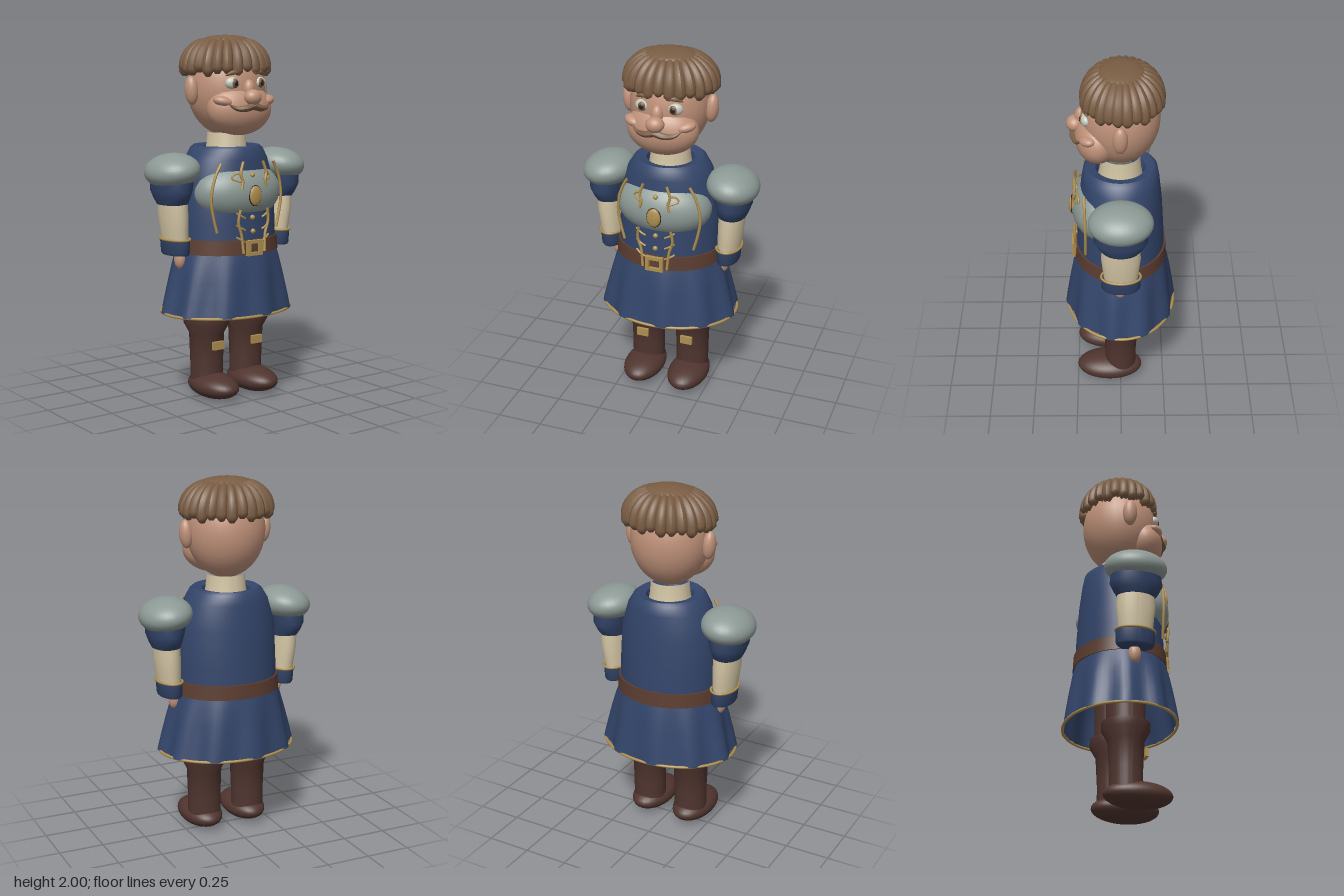
import * as THREE from 'three';
import { toCreasedNormals } from 'three/addons/utils/BufferGeometryUtils.js';

const mat = (name, color, side = THREE.FrontSide) => {
  const m = new THREE.MeshStandardMaterial({ color, side });
  m.name = name;
  return m;
};
const V = (p) => new THREE.Vector3(...p);

export function createModel() {
  const navy = mat('navy cloth', 0x33456a, THREE.DoubleSide);
  const steel = mat('grey steel', 0x8c9995);
  const skin = mat('skin', 0xc0927a);
  const hair = mat('brown hair', 0x7a5d44);
  const gold = mat('gold', 0xae8f50);
  const boot = mat('dark boot leather', 0x50352f);
  const leather = mat('belt leather', 0x5c3d30);
  const cream = mat('cream linen', 0xd3c5a4);
  const white = mat('eye white', 0xc4c8ba);
  const dark = mat('dark brown', 0x2c1c17);

  const root = new THREE.Group();
  root.name = 'bearer';
  const add = (name, geo, material, pos = [0, 0, 0], rot = [0, 0, 0]) => {
    const m = new THREE.Mesh(geo, material);
    m.name = name;
    m.position.set(...pos);
    m.rotation.set(...rot);
    root.add(m);
    return m;
  };
  const ball = (name, material, pos, r, rot) =>
    add(name, new THREE.SphereGeometry(1, 32, 22).scale(...r), material, pos, rot);

  // Elliptical cross-sections from top to bottom: [y, rx, rz, centre x, centre z]
  const loft = (name, material, rings, wave = () => 1) => {
    const seg = 80;
    const g = new THREE.CylinderGeometry(1, 1, 1, seg, rings.length - 1, true);
    const p = g.attributes.position;
    for (let i = 0; i < p.count; i++) {
      const row = Math.floor(i / (seg + 1));
      const [y, rx, rz, cx = 0, cz = 0] = rings[row];
      const x = p.getX(i), z = p.getZ(i);
      const k = wave(Math.atan2(z, x), row / (rings.length - 1));
      p.setXYZ(i, cx + x * rx * k, y, cz + z * rz * k);
    }
    return add(name, toCreasedNormals(g, 0.7), material);
  };

  // Tube through points, its radius following a rule along the length
  const cord = (name, material, pts, r, rule = () => 1, seg = 16, sides = 8) => {
    const curve = new THREE.CatmullRomCurve3(pts.map(V));
    const g = new THREE.TubeGeometry(curve, seg, r, sides);
    const p = g.attributes.position, v = new THREE.Vector3();
    for (let i = 0; i < p.count; i++) {
      const t = Math.floor(i / (sides + 1)) / seg;
      const c = curve.getPointAt(t);
      v.fromBufferAttribute(p, i).sub(c).multiplyScalar(rule(t)).add(c);
      p.setXYZ(i, v.x, v.y, v.z);
    }
    g.computeVertexNormals();
    return add(name, g, material);
  };
  const ellipseTrim = (name, y, rx, rz, cx, r) => {
    const pts = [];
    for (let i = 0; i < 24; i++) {
      const a = (i / 24) * Math.PI * 2;
      pts.push(new THREE.Vector3(cx + rx * Math.cos(a), y, rz * Math.sin(a)));
    }
    add(name, new THREE.TubeGeometry(new THREE.CatmullRomCurve3(pts, true), 72, r, 8, true), gold);
  };

  // Tunic, belt and pleated skirt
  loft('tunic', navy, [
    [1.35, 0.12, 0.12], [1.39, 0.13, 0.135], [1.4, 0.18, 0.185], [1.385, 0.2, 0.2],
    [1.33, 0.235, 0.21], [1.2, 0.275, 0.225], [1.0, 0.285, 0.238], [0.82, 0.29, 0.245],
  ]);
  loft('belt', leather, [
    [0.9, 0.28, 0.235], [0.9, 0.297, 0.252], [0.82, 0.303, 0.256], [0.82, 0.28, 0.24],
  ]);
  loft('skirt', navy, [
    [0.85, 0.288, 0.242], [0.77, 0.315, 0.262], [0.68, 0.338, 0.276], [0.58, 0.362, 0.29], [0.487, 0.385, 0.303],
  ], (a, t) => 1 + 0.04 * Math.min(1, t * 1.5) * Math.cos(10 * (a - 1.442)));
  ellipseTrim('skirtTrim', 0.487, 0.388, 0.304, 0, 0.008);

  // Breastplate with medallion and buttons
  ball('breastplate', steel, [0, 1.15, 0.1], [0.268, 0.17, 0.17]);
  ball('medallionRim', dark, [0, 1.14, 0.266], [0.043, 0.057, 0.01]);
  ball('medallion', gold, [0, 1.14, 0.27], [0.039, 0.053, 0.014]);
  for (const [y, z] of [[1.25, 0.24], [1.02, 0.242], [0.945, 0.247]])
    ball('button', gold, [0, y, z], [0.014, 0.014, 0.012]);

  // Belt buckle
  const frame = new THREE.Shape();
  frame.moveTo(-0.05, -0.042).lineTo(0.05, -0.042).lineTo(0.05, 0.042).lineTo(-0.05, 0.042).closePath();
  const hole = new THREE.Path();
  hole.moveTo(-0.03, -0.024).lineTo(-0.03, 0.024).lineTo(0.03, 0.024).lineTo(0.03, -0.024).closePath();
  frame.holes.push(hole);
  add('buckle', new THREE.ExtrudeGeometry(frame, { depth: 0.025, bevelEnabled: false }), gold, [0, 0.857, 0.247]);

  // Neck and head
  loft('neck', cream, [[1.47, 0.105, 0.105], [1.4, 0.11, 0.11], [1.34, 0.12, 0.12]]);
  ball('head', skin, [0, 1.71, 0], [0.217, 0.26, 0.21]);
  ball('jaw', skin, [0, 1.6, 0.12], [0.198, 0.143, 0.125]);
  ball('noseBridge', skin, [0, 1.705, 0.205], [0.034, 0.055, 0.035]);
  ball('noseTip', skin, [0, 1.665, 0.24], [0.05, 0.043, 0.045]);

  // Hair: a cap under radiating locks
  add('hairCap', new THREE.SphereGeometry(1, 40, 20, 0, Math.PI * 2, 0, Math.PI / 2).scale(0.238, 0.19, 0.2),
    hair, [0, 1.805, -0.008]);
  ball('crown', hair, [0, 1.965, -0.005], [0.14, 0.032, 0.12]);
  const locks = 26;
  for (let i = 0; i < locks; i++) {
    const a = ((i + 0.5) / locks) * Math.PI * 2;
    const tip = 1.785 + 0.012 * Math.sin(i * 2.4);
    const pts = [[0.38, 1.972], [0.68, 1.945], [0.9, 1.895], [0.99, 1.84], [0.98, tip]]
      .map(([f, y]) => [f * 0.237 * Math.cos(a), y, -0.01 + f * 0.196 * Math.sin(a)]);
    cord('hairLock', hair, pts, 0.031, (t) => 0.2 + 0.8 * Math.sqrt(Math.sin(Math.min(1, t * 1.3) * Math.PI / 2)) - (t > 0.9 ? (t - 0.9) * 6 : 0), 20, 10);
  }

  for (const s of [1, -1]) {
    // Face
    ball('eye', white, [s * 0.092, 1.74, 0.182], [0.04, 0.032, 0.026], [0, s * 0.25, 0]);
    ball('iris', hair, [s * 0.086, 1.74, 0.199], [0.023, 0.025, 0.012]);
    ball('pupil', dark, [s * 0.086, 1.74, 0.208], [0.012, 0.014, 0.006]);
    cord('eyebrow', hair, [[s * 0.045, 1.79, 0.2], [s * 0.085, 1.797, 0.19], [s * 0.13, 1.78, 0.17]], 0.012,
      (t) => 0.2 + 0.8 * Math.sin(Math.PI * t));
    ball('cheek', skin, [s * 0.145, 1.645, 0.172], [0.055, 0.028, 0.04], [0, s * 0.5, s * 0.2]);
    cord('moustache', hair, [[0, 1.62, 0.248], [s * 0.05, 1.607, 0.246], [s * 0.1, 1.608, 0.226], [s * 0.138, 1.635, 0.21]],
      0.02, (t) => Math.max(0.05, 1 - 0.9 * t * t));
    ball('ear', skin, [s * 0.232, 1.7, 0.003], [0.036, 0.078, 0.04], [0, 0, s * -0.08]);

    // Shoulder, arm and cuff
    ball('shoulderPad', steel, [s * 0.358, 1.274, 0], [0.144, 0.094, 0.172], [0, 0, s * -0.15]);
    loft('sleeve', navy, [
      [1.27, 0.115, 0.13, s * 0.355], [1.17, 0.098, 0.145, s * 0.365], [1.125, 0.085, 0.122, s * 0.362],
      [1.095, 0.075, 0.1, s * 0.358], [1.1, 0.05, 0.08, s * 0.358],
    ]);
    loft('forearm', cream, [
      [1.14, 0.07, 0.1, s * 0.358], [1.04, 0.07, 0.106, s * 0.354], [0.96, 0.066, 0.098, s * 0.348], [0.88, 0.06, 0.09, s * 0.342],
    ]);
    loft('cuff', navy, [
      [0.9, 0.05, 0.08, s * 0.343], [0.908, 0.067, 0.107, s * 0.343], [0.83, 0.063, 0.105, s * 0.34],
      [0.82, 0.058, 0.098, s * 0.34], [0.82, 0, 0, s * 0.34],
    ]);
    ellipseTrim('cuffTrim', 0.905, 0.067, 0.107, s * 0.343, 0.007);
    ball('hand', skin, [s * 0.312, 0.79, 0.003], [0.032, 0.055, 0.034]);

    // Gold cords on the chest
    cord('sideCord', gold, [[s * 0.175, 1.315, 0.195], [s * 0.21, 1.25, 0.193], [s * 0.236, 1.13, 0.19], [s * 0.222, 1.03, 0.19], [s * 0.2, 0.945, 0.192]], 0.008);
    cord('upperCord', gold, [[s * 0.065, 1.325, 0.245], [s * 0.085, 1.26, 0.25], [s * 0.075, 1.22, 0.255], [s * 0.085, 1.18, 0.258]], 0.008);
    cord('upperLoop', gold, [[s * 0.075, 1.215, 0.25], [s * 0.125, 1.235, 0.225], [s * 0.115, 1.255, 0.225], [s * 0.075, 1.265, 0.24]], 0.006);
    cord('lowerCord', gold, [[s * 0.09, 1.07, 0.256], [s * 0.1, 1.0, 0.25], [s * 0.08, 0.93, 0.25], [s * 0.07, 0.83, 0.257]], 0.008);
    for (const y of [1.04, 0.975, 0.91])
      cord('cordHook', gold, [[s * 0.055, y - 0.022, 0.25], [s * 0.08, y - 0.008, 0.252], [s * 0.11, y + 0.01, 0.24]], 0.006);

    // Leg, boot and strap buckle
    const x = s * 0.135;
    loft('boot', boot, [
      [0.7, 0.105, 0.105, x], [0.46, 0.105, 0.105, x], [0.46, 0.126, 0.13, x], [0.415, 0.126, 0.13, x], [0.36, 0.098, 0.098, x],
      [0.2, 0.093, 0.089, x], [0.07, 0.093, 0.089, x],
    ]);
    ball('foot', boot, [x, 0.072, 0.064], [0.114, 0.07, 0.187]);
    add('strapBuckle', new THREE.BoxGeometry(0.07, 0.045, 0.018), gold, [s * 0.132, 0.302, 0.107]);
  }
  return root;
}
